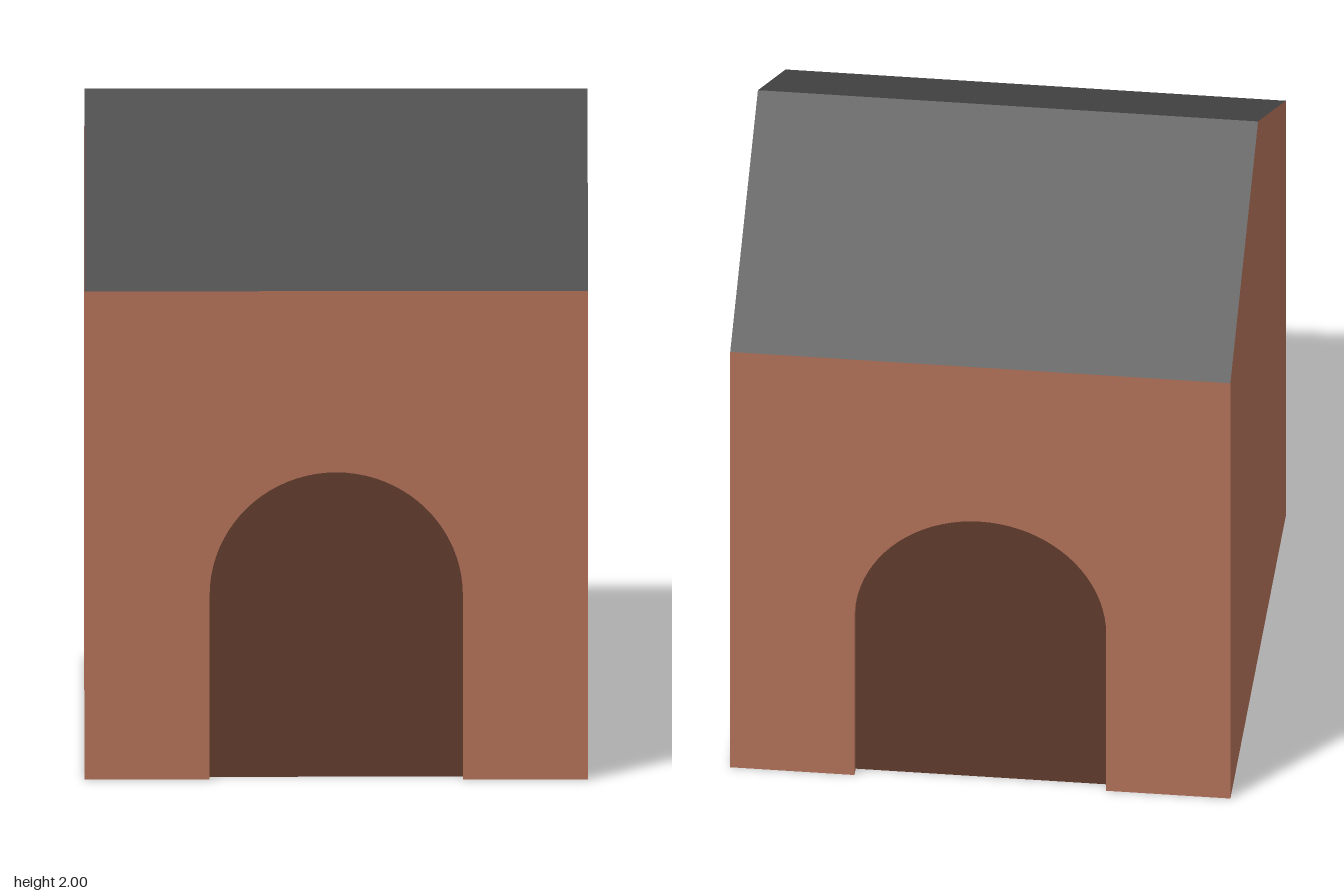
import * as THREE from 'three';

const HALF = 0.775, EAVES = 1.55, RIDGE = 2;          // body
const DOOR = 0.39, SPRING = 0.585, RECESS = 0.035;    // arched doorway

const brick = new THREE.MeshStandardMaterial({ color: 0xb5735a });
const brickThin = new THREE.MeshStandardMaterial({ color: 0xb5735a, side: THREE.DoubleSide });
const doorBrown = new THREE.MeshStandardMaterial({ color: 0x623c2e });
const slate = new THREE.MeshStandardMaterial({ color: 0x4a4a4a });

function part(name, geometry, material) {
  const mesh = new THREE.Mesh(geometry, material);
  mesh.name = name;
  return mesh;
}

function polygon(points) {
  return new THREE.Shape(points.map(([x, y]) => new THREE.Vector2(x, y)));
}

// Doorway outline from the right foot, over the arch, to the left foot
function archPoints(segments = 40) {
  const pts = [[DOOR, 0]];
  for (let i = 0; i <= segments; i++) {
    const a = (i / segments) * Math.PI;
    pts.push([DOOR * Math.cos(a), SPRING + DOOR * Math.sin(a)]);
  }
  pts.push([-DOOR, 0]);
  return pts;
}

// Strip that lines the recess between wall face and door
function jambGeometry(arch) {
  const pos = [], index = [];
  arch.forEach(([x, y], i) => {
    pos.push(x, y, HALF, x, y, HALF - RECESS);
    if (i) {
      const k = 2 * i;
      index.push(k - 2, k - 1, k, k, k - 1, k + 1);
    }
  });
  const g = new THREE.BufferGeometry();
  g.setAttribute('position', new THREE.Float32BufferAttribute(pos, 3));
  g.setIndex(index);
  g.computeVertexNormals();
  return g;
}

// One half: wall with doorway, door, jamb and roof slope
function createHalf(name) {
  const half = new THREE.Group();
  half.name = name;
  const arch = archPoints();

  const wall = polygon([[-HALF, 0], ...arch.slice().reverse(), [HALF, 0], [HALF, EAVES], [-HALF, EAVES]]);
  half.add(part('wall', new THREE.ShapeGeometry(wall).translate(0, 0, HALF), brick));
  half.add(part('door', new THREE.ShapeGeometry(polygon(arch)).translate(0, 0, HALF - RECESS), doorBrown));
  half.add(part('doorJamb', jambGeometry(arch), brickThin));

  const rise = RIDGE - EAVES;
  const slope = new THREE.PlaneGeometry(2 * HALF, Math.hypot(HALF, rise));
  slope.rotateX(-Math.atan2(HALF, rise)).translate(0, (EAVES + RIDGE) / 2, HALF / 2);
  half.add(part('roofSlope', slope, slate));
  return half;
}

export function createModel() {
  const model = new THREE.Group();
  model.name = 'house';

  const front = createHalf('frontHalf');
  const back = createHalf('backHalf');
  back.rotation.y = Math.PI;
  model.add(front, back);

  // Gabled side walls
  const gable = polygon([[-HALF, 0], [HALF, 0], [HALF, EAVES], [0, RIDGE], [-HALF, EAVES]]);
  for (const [name, side] of [['leftGable', 1], ['rightGable', -1]]) {
    const g = new THREE.ShapeGeometry(gable).translate(0, 0, HALF).rotateY(side * Math.PI / 2);
    model.add(part(name, g, brick));
  }

  // Underside, notched at both doorways
  const inner = HALF - RECESS;
  const edge = [[-HALF, -HALF], [-DOOR, -HALF], [-DOOR, -inner], [DOOR, -inner], [DOOR, -HALF], [HALF, -HALF]];
  const floor = polygon([...edge, ...edge.map(([x, z]) => [-x, -z])]);
  model.add(part('floor', new THREE.ShapeGeometry(floor).rotateX(Math.PI / 2), brick));

  return model;
}
